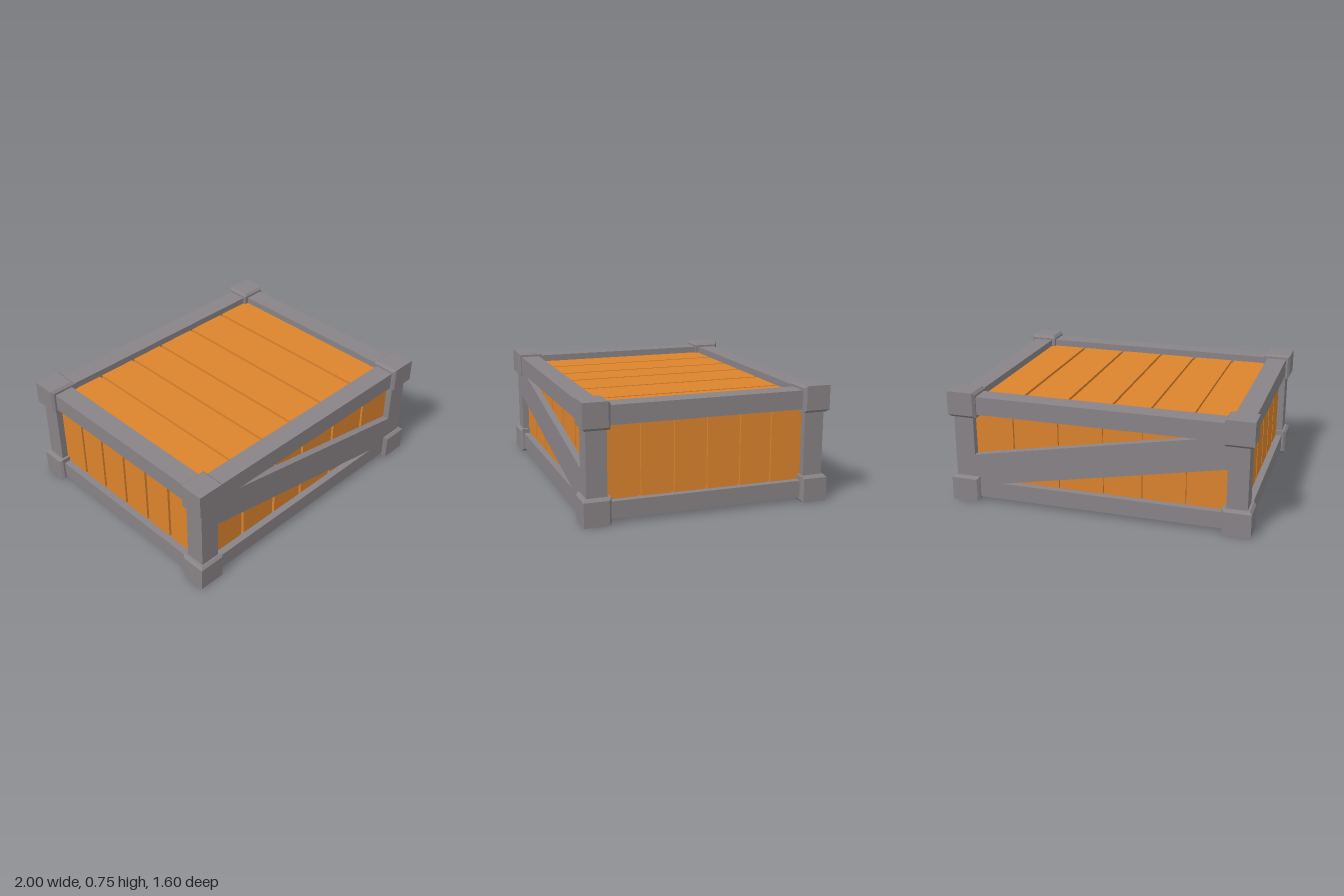
import * as THREE from 'three';
import { ConvexGeometry } from 'three/addons/geometries/ConvexGeometry.js';

const metal = new THREE.MeshStandardMaterial({ color: 0x888386, flatShading: true });
const wood = new THREE.MeshStandardMaterial({ color: 0xdb832d, flatShading: true });

// Frame outer (O) and inner (I) limits, and the recessed plank surface (P)
const O = { x: 0.97, z: 0.775, y0: 0.03, y1: 0.725 };
const I = { x: 0.837, z: 0.645, y0: 0.14, y1: 0.605 };
const P = { x: 0.925, z: 0.73, y0: 0.075, y1: 0.68 };
const GAP = 0.02, THICK = 0.018;

// Box given by its limits on each axis
function box(name, material, [x0, x1], [y0, y1], [z0, z1]) {
  const mesh = new THREE.Mesh(new THREE.BoxGeometry(x1 - x0, y1 - y0, z1 - z0), material);
  mesh.position.set((x0 + x1) / 2, (y0 + y1) / 2, (z0 + z1) / 2);
  mesh.name = name;
  return mesh;
}

// Plank spans between groove centres
function spans(cuts, limit) {
  const edges = [-limit, ...cuts, limit];
  return edges.slice(1).map((end, i) => [
    edges[i] + (i > 0 ? GAP / 2 : 0),
    end - (i < cuts.length ? GAP / 2 : 0),
  ]);
}

// Long side frame: one flush slab whose two triangular openings leave a diagonal brace
function bracedFrame() {
  const poly = (C, pts) => new C(pts.map(([x, y]) => new THREE.Vector2(x, y)));
  const shape = poly(THREE.Shape, [[-O.x, O.y0], [O.x, O.y0], [O.x, O.y1], [-O.x, O.y1]]);
  shape.holes.push(
    poly(THREE.Path, [[-0.65, I.y1], [I.x, I.y1], [I.x, 0.325]]),
    poly(THREE.Path, [[-I.x, 0.428], [-I.x, I.y0], [0.655, I.y0]]),
  );
  return new THREE.ExtrudeGeometry(shape, { depth: O.z - I.z, bevelEnabled: false });
}

// Corner block: sharp outer edges, chamfered rims towards the frame
function cornerBlock(sx, sy, sz) {
  const size = [0.19, 0.172, 0.175], c = 0.016;
  const points = [];
  for (let i = 0; i < 8; i++) {
    const far = [i & 1, (i >> 1) & 1, (i >> 2) & 1];
    const count = far[0] + far[1] + far[2];
    const add = (d) => points.push(new THREE.Vector3(
      sx * (1 - d[0]), sy > 0 ? 0.755 - d[1] : d[1], sz * (0.8 - d[2])));
    if (count === 0 || count === 3) add(far.map((f, k) => f * size[k]));
    else {
      add(far.map((f, k) => (f ? size[k] - c : 0)));
      add(far.map((f, k) => (f ? size[k] : c)));
    }
  }
  const mesh = new THREE.Mesh(new ConvexGeometry(points), metal);
  mesh.name = 'cornerBlock';
  return mesh;
}

export function createModel() {
  const crate = new THREE.Group();
  crate.name = 'crate';

  // Inner core seen at the bottom of the grooves
  crate.add(box('core', wood, [-P.x + THICK, P.x - THICK], [P.y0 + THICK, P.y1 - THICK],
    [-P.z + THICK, P.z - THICK]));

  // Planks on all six sides
  const planks = new THREE.Group();
  planks.name = 'planks';
  for (const s of spans([-0.58, -0.295, -0.037, 0.263, 0.57], P.x)) {
    planks.add(box('topPlank', wood, s, [P.y1 - THICK, P.y1], [-P.z, P.z]));
    planks.add(box('frontPlank', wood, s, [P.y0, P.y1], [P.z - THICK, P.z]));
    planks.add(box('backPlank', wood, s, [P.y0, P.y1], [-P.z, -P.z + THICK]));
  }
  for (const s of spans([-0.43, -0.22, 0, 0.215, 0.43], P.z)) {
    planks.add(box('bottomPlank', wood, [-P.x, P.x], [P.y0, P.y0 + THICK], s));
    planks.add(box('leftPlank', wood, [P.x - THICK, P.x], [P.y0, P.y1], s));
    planks.add(box('rightPlank', wood, [-P.x, -P.x + THICK], [P.y0, P.y1], s));
  }
  crate.add(planks);

  // Front and back frames with diagonal braces
  const frameGeometry = bracedFrame();
  for (const [name, z] of [['frontFrame', I.z], ['backFrame', -O.z]]) {
    const frame = new THREE.Mesh(frameGeometry, metal);
    frame.position.z = z;
    frame.name = name;
    crate.add(frame);
  }

  // Side rails and corner blocks
  for (const sx of [-1, 1]) {
    const x = sx > 0 ? [I.x, O.x] : [-O.x, -I.x];
    crate.add(box('topSideRail', metal, x, [I.y1, O.y1], [-I.z, I.z]));
    crate.add(box('bottomSideRail', metal, x, [O.y0, I.y0], [-I.z, I.z]));
    for (const sy of [-1, 1]) for (const sz of [-1, 1]) crate.add(cornerBlock(sx, sy, sz));
  }
  return crate;
}
